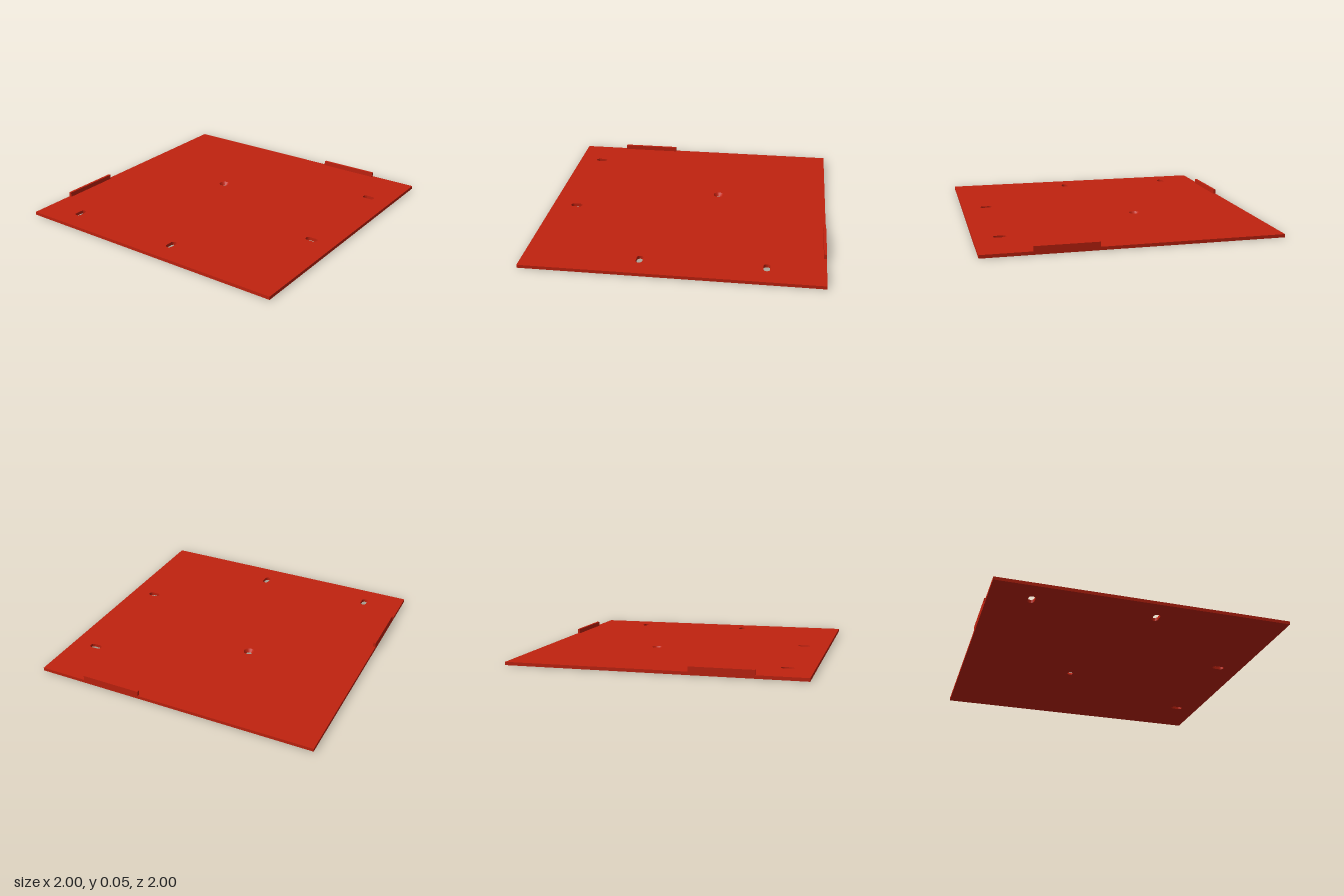
import * as THREE from 'three';
import { toCreasedNormals } from 'three/addons/utils/BufferGeometryUtils.js';

const THICK = 0.022;
const SCREW = { x: -0.2, z: -0.2, top: 0.037, bottom: 0.02 };

// Rounded slot as a hole; angle turns it from lying along x to along z
function slot(x, z, angle) {
  const r = 0.022, h = 0.021, dx = h * Math.cos(angle), dy = h * Math.sin(angle);
  const path = new THREE.Path();
  path.absarc(x + dx, -z + dy, r, angle - Math.PI / 2, angle + Math.PI / 2, false);
  path.absarc(x - dx, -z - dy, r, angle + Math.PI / 2, angle + Math.PI * 1.5, false);
  path.closePath();
  return path;
}

function plateGeometry() {
  const shape = new THREE.Shape([[-1, -1], [1, -1], [1, 1], [-1, 1]].map(([x, y]) => new THREE.Vector2(x, y)));
  for (const z of [-0.615, 0.22]) shape.holes.push(slot(0.825, z, 0));
  for (const x of [-0.725, 0.11]) shape.holes.push(slot(x, 0.825, Math.PI / 2));
  shape.holes.push(new THREE.Path().absarc(SCREW.x, -SCREW.z, SCREW.top, 0, Math.PI * 2, true));

  const geo = new THREE.ExtrudeGeometry(shape, { depth: THICK, bevelEnabled: false, curveSegments: 16 });
  geo.rotateX(-Math.PI / 2);

  // Narrow the screw hole at the underside to form a countersink
  const p = geo.attributes.position, k = SCREW.bottom / SCREW.top;
  for (let i = 0; i < p.count; i++) {
    const dx = p.getX(i) - SCREW.x, dz = p.getZ(i) - SCREW.z;
    if (p.getY(i) < THICK / 2 && Math.hypot(dx, dz) < 0.05) {
      p.setX(i, SCREW.x + dx * k);
      p.setZ(i, SCREW.z + dz * k);
    }
  }
  return toCreasedNormals(geo, 0.6);
}

export function createModel() {
  const model = new THREE.Group();
  const red = new THREE.MeshStandardMaterial({ color: 0xc0220f });
  red.name = 'red';

  const add = (name, geo, x = 0, y = 0, z = 0) => {
    const mesh = new THREE.Mesh(geo, red);
    mesh.name = name;
    mesh.position.set(x, y, z);
    model.add(mesh);
  };

  add('plate', plateGeometry());

  // Upright locating tabs on the back and right edges
  const tabH = 0.055 - THICK, tabT = 0.018, tabL = 0.424;
  const tabY = THICK + tabH / 2, edge = 1 - tabT / 2;
  add('backTab', new THREE.BoxGeometry(tabL, tabH, tabT), 0.453, tabY, -edge);
  add('rightTab', new THREE.BoxGeometry(tabT, tabH, tabL), -edge, tabY, 0.453);

  return model;
}
